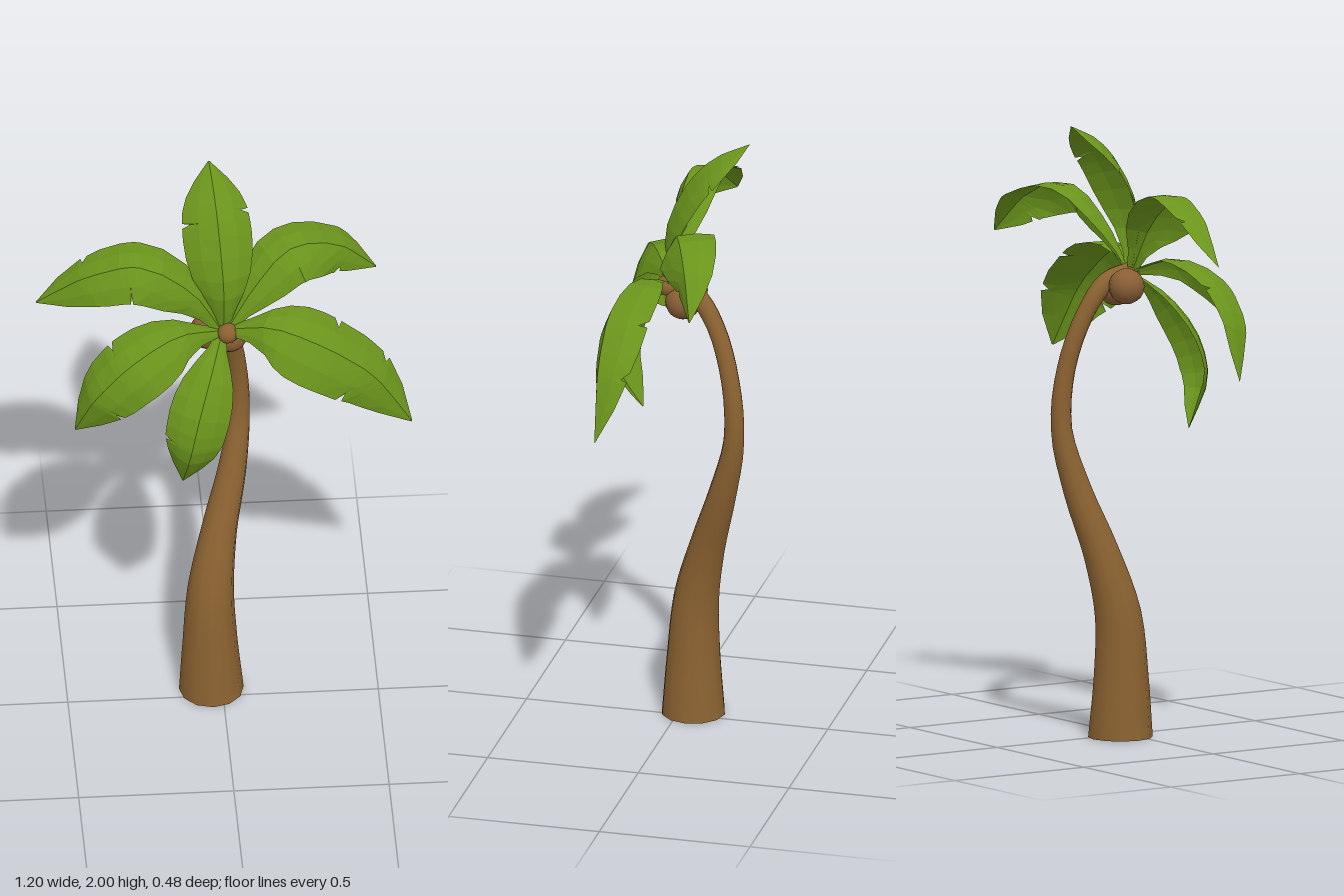
import * as THREE from 'three';

const bark = new THREE.MeshStandardMaterial({ color: 0x8b6231, side: THREE.DoubleSide });
bark.name = 'bark brown';
const husk = new THREE.MeshStandardMaterial({ color: 0x8b5f36 });
husk.name = 'husk brown';
const green = new THREE.MeshStandardMaterial({ color: 0x6b951c, side: THREE.DoubleSide, flatShading: true });
green.name = 'leaf green';

const vec = (a) => new THREE.Vector3(...a);
const curveOf = (pts) => new THREE.CatmullRomCurve3(pts.map(vec));

function gridGeometry(points, rows, cols) {
  const index = [];
  for (let i = 0; i < rows - 1; i++) for (let j = 0; j < cols - 1; j++) {
    const a = i * cols + j, c = a + cols;
    index.push(a, a + 1, c, a + 1, c + 1, c);
  }
  const g = new THREE.BufferGeometry().setFromPoints(points);
  g.setIndex(index);
  return g;
}

// linear lookup in a list of [t, value]
function lookup(list, t) {
  for (let i = 1; i < list.length; i++) {
    const [t0, v0] = list[i - 1], [t1, v1] = list[i];
    if (t <= t1) return THREE.MathUtils.lerp(v0, v1, (t - t0) / (t1 - t0));
  }
  return list[list.length - 1][1];
}

// Trunk: open tube of falling radius swept along an S-shaped path, [x, y, z, radius]
function trunkGeometry() {
  const path = [
    [-0.035, 0, -0.045, 0.104], [-0.039, 0.2, -0.045, 0.088], [-0.036, 0.4, -0.055, 0.075],
    [-0.006, 0.6, -0.1, 0.058], [0.04, 0.8, -0.16, 0.046], [0.066, 1.0, -0.205, 0.034],
    [0.058, 1.2, -0.192, 0.03], [0.03, 1.38, -0.135, 0.029], [0.015, 1.475, -0.065, 0.031],
    [0.013, 1.5, 0.035, 0.034],
  ];
  const curve = curveOf(path.map((p) => p.slice(0, 3)));
  const sides = 12, steps = 36, points = [];
  for (let i = 0; i <= steps; i++) {
    const t = i / steps, k = t * (path.length - 1);
    const r = lookup(path.map((p, n) => [n, p[3]]), k);
    const c = curve.getPoint(t);
    const T = i ? curve.getTangent(t) : new THREE.Vector3(0, 1, 0);
    const U = new THREE.Vector3(1, 0, 0).addScaledVector(T, -T.x).normalize();
    const V = T.clone().cross(U);
    for (let j = 0; j <= sides; j++) {
      const a = (j / sides) * Math.PI * 2;
      points.push(c.clone().addScaledVector(U, r * Math.cos(a)).addScaledVector(V, r * Math.sin(a)));
    }
  }
  const g = gridGeometry(points, steps + 1, sides + 1);
  g.computeVertexNormals();
  // match normals across the seam
  const n = g.attributes.normal;
  for (let i = 0; i <= steps; i++) {
    const a = i * (sides + 1), b = a + sides;
    const m = new THREE.Vector3().fromBufferAttribute(n, a).add(new THREE.Vector3().fromBufferAttribute(n, b)).normalize();
    n.setXYZ(a, m.x, m.y, m.z);
    n.setXYZ(b, m.x, m.y, m.z);
  }
  return g;
}

// Leaf: drooping V-shaped blade along a midrib, with torn notches in its edges
const outline = [[0, 0.15], [0.12, 0.36], [0.25, 0.75], [0.38, 0.95], [0.52, 1], [0.68, 0.94], [0.82, 0.74], [0.92, 0.42], [1, 0.02]];
const across = [-1, -0.55, 0, 0.55, 1];

// up is the direction the upper face of the blade looks to
function leafGeometry({ rib, up, width, notches }) {
  const curve = curveOf(rib);
  const ts = Array.from({ length: 11 }, (_, i) => i / 10)
    .filter((t) => notches.every(([n]) => Math.abs(t - n) > 0.035));
  notches.forEach(([n]) => ts.push(n - 0.02, n, n + 0.012));
  ts.sort((a, b) => a - b);
  const points = [];
  for (const t of ts) {
    const c = curve.getPoint(t), T = curve.getTangent(t);
    const S = T.clone().cross(vec(up)).normalize(), N = S.clone().cross(T);
    for (const s of across) {
      const cut = notches.some(([n, side]) => n === t && s === side) ? 0.78 : 1;
      const w = width * lookup(outline, t) * cut;
      points.push(c.clone().addScaledVector(S, s * w)
        .addScaledVector(N, -0.6 * w * Math.abs(s) ** 1.35));
    }
  }
  const g = gridGeometry(points, ts.length, across.length).toNonIndexed();
  g.computeVertexNormals();
  return g;
}

const leaves = [
  { name: 'topLeaf', up: [0, 0.85, 0.5], width: 0.113, notches: [[0.6, -1], [0.66, 1]],
    rib: [[0, 1.5, 0.02], [0, 1.67, 0.04], [-0.01, 1.84, -0.025], [-0.02, 1.945, -0.12], [-0.03, 2, -0.232]] },
  { name: 'upperLeftLeaf', up: [0, 0.84, 0.54], width: 0.105, notches: [[0.84, 1]],
    rib: [[0.015, 1.51, 0.02], [0.1, 1.65, -0.005], [0.22, 1.765, -0.055], [0.37, 1.73, -0.115], [0.505, 1.59, -0.17]] },
  { name: 'lowerLeftLeaf', up: [0, 0.8, 0.6], width: 0.13, notches: [[0.58, -1], [0.8, -1], [0.72, 1]],
    rib: [[0.02, 1.515, 0.03], [0.15, 1.565, 0.1], [0.3, 1.52, 0.14], [0.47, 1.39, 0.14], [0.6, 1.18, 0.12]] },
  { name: 'upperRightLeaf', up: [0, 0.82, 0.57], width: 0.106, notches: [[0.78, 1], [0.55, -1]],
    rib: [[-0.01, 1.51, 0.02], [-0.1, 1.665, 0.03], [-0.27, 1.78, 0.03], [-0.44, 1.73, 0.005], [-0.6, 1.6, -0.045]] },
  { name: 'lowerRightLeaf', up: [0, 0.8, 0.6], width: 0.118, notches: [[0.56, 1], [0.78, -1]],
    rib: [[-0.015, 1.51, 0.03], [-0.15, 1.555, 0.11], [-0.3, 1.5, 0.175], [-0.42, 1.37, 0.18], [-0.485, 1.2, 0.115]] },
  { name: 'frontLeaf', up: [-0.1, 0.3, 0.95], width: 0.1, notches: [[0.7, 1]],
    rib: [[-0.005, 1.5, 0.025], [-0.045, 1.42, 0.135], [-0.092, 1.29, 0.22], [-0.122, 1.15, 0.235], [-0.14, 1, 0.15]] },
];

export function createModel() {
  const palm = new THREE.Group();
  palm.name = 'palmTree';
  const add = (name, geometry, material, position = [0, 0, 0]) => {
    const mesh = new THREE.Mesh(geometry, material);
    mesh.name = name;
    mesh.position.set(...position);
    palm.add(mesh);
  };

  add('trunk', trunkGeometry(), bark);
  add('trunkTip', new THREE.SphereGeometry(0.034, 12, 8), bark, [0.013, 1.5, 0.03]);

  // Coconuts under the crown
  [[0.022, 1.452, -0.025], [-0.048, 1.465, -0.03]].forEach((p, i) =>
    add('coconut' + (i + 1), new THREE.SphereGeometry(0.058, 14, 10), husk, p));

  for (const leaf of leaves) add(leaf.name, leafGeometry(leaf), green);
  return palm;
}
